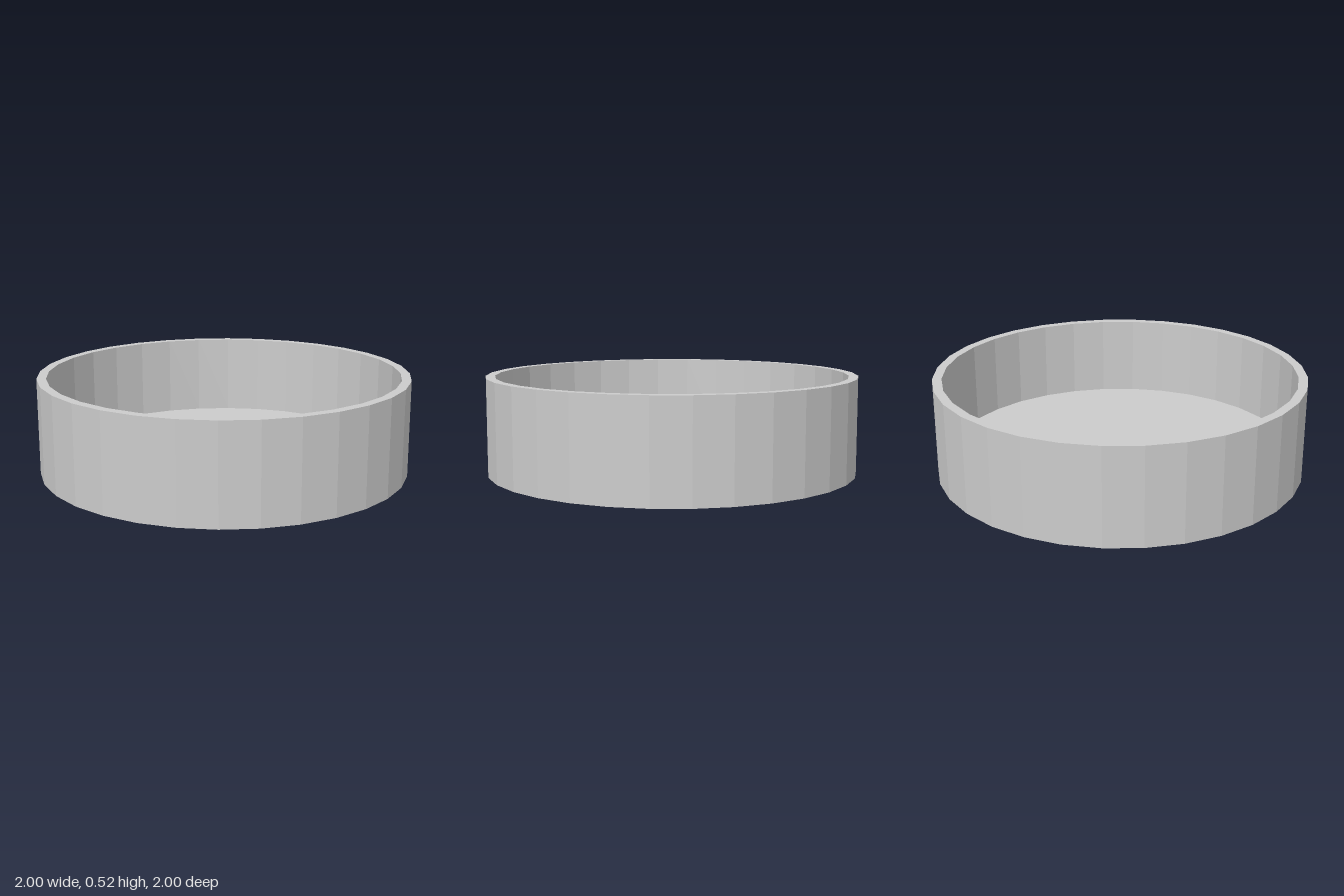
import * as THREE from 'three';

const SIDES = 32;
const HEIGHT = 0.52;
const FLOOR = 0.075;
const OUTER = 1;
const INNER = 0.95;

export function createModel() {
  const group = new THREE.Group();
  group.name = 'roundTray';

  // Closed cross-section: underside, outer wall, rim, inner wall, floor
  const profile = [
    [0, 0], [OUTER, 0], [OUTER, HEIGHT],
    [INNER, HEIGHT], [INNER, FLOOR], [0, FLOOR],
  ].map(([r, y]) => new THREE.Vector2(r, y));

  const tray = new THREE.Mesh(
    new THREE.LatheGeometry(profile, SIDES),
    new THREE.MeshStandardMaterial({ color: 0xcccccc, flatShading: true }),
  );
  tray.name = 'trayBody';
  group.add(tray);
  return group;
}
